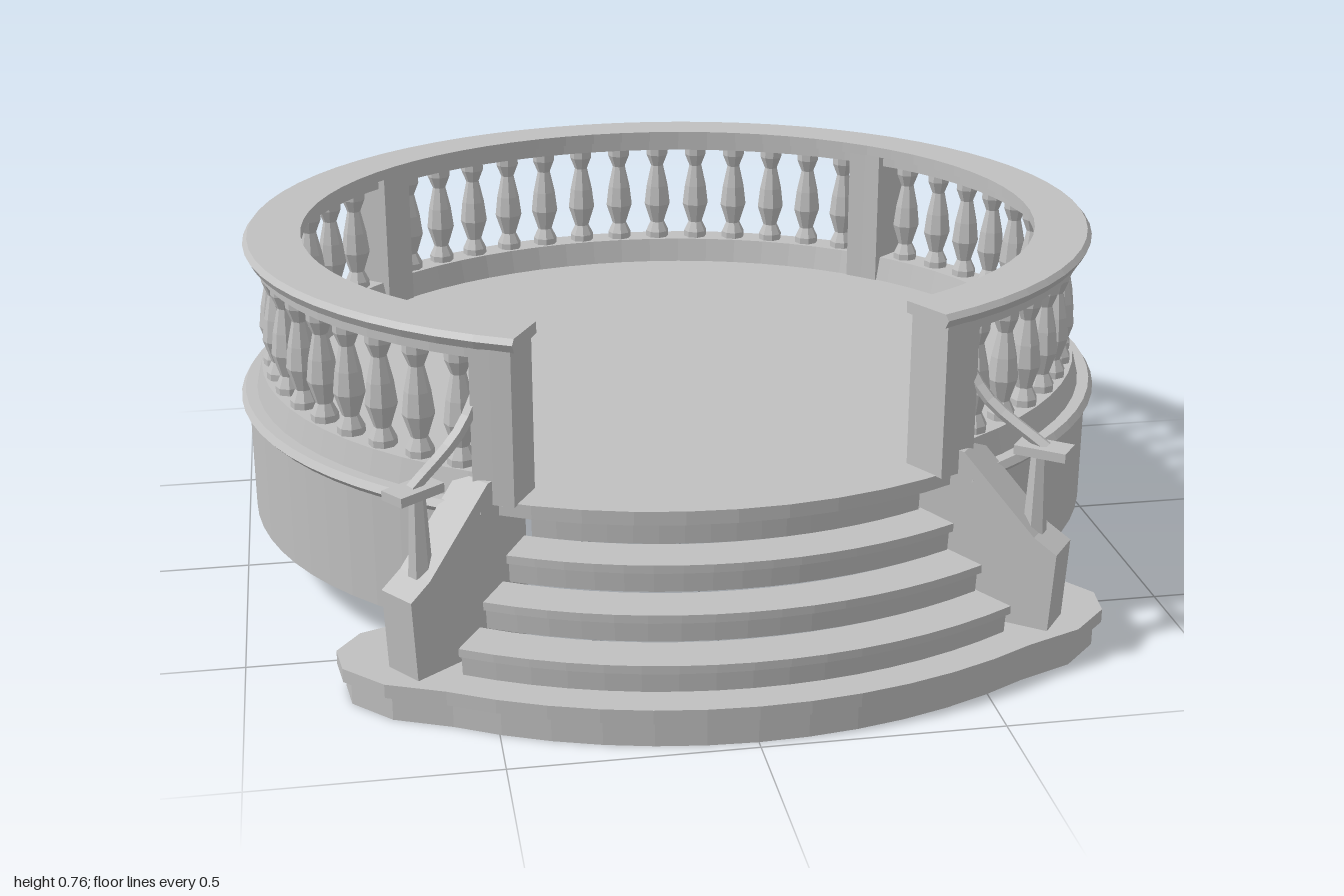
import * as THREE from 'three';

const DEG = Math.PI / 180;
const stone = new THREE.MeshStandardMaterial({ color: 0xc0c0c0, flatShading: true });
stone.name = 'paleStone';

// the terrace plan is a slightly flattened circle; the steps follow their own circle
const TERRACE = { rx: 0.99, rz: 0.9, cz: -0.1 };
const STAIR = { rx: 1, rz: 1, cz: -0.21 };

// point on a plan: scale s, height y, angle t in degrees from the front
function at(plan, s, y, t) {
  return [plan.rx * s * Math.sin(t * DEG), y, plan.cz + plan.rz * s * Math.cos(t * DEG)];
}

// sweep a convex profile of [scale, height] around part of a plan, with end caps
function sweep(plan, profile, t0, t1, segments) {
  const out = [];
  const n = profile.length;
  const ring = (k) => profile.map(([s, y]) => at(plan, s, y, t0 + (t1 - t0) * k / segments));
  for (let k = 0; k < segments; k++) {
    const a = ring(k), b = ring(k + 1);
    for (let i = 0; i < n; i++) {
      const j = (i + 1) % n;
      out.push(...a[i], ...b[i], ...b[j], ...a[i], ...b[j], ...a[j]);
    }
  }
  const first = ring(0), last = ring(segments);
  for (let i = 1; i < n - 1; i++) {
    out.push(...first[0], ...first[i], ...first[i + 1]);
    out.push(...last[0], ...last[i + 1], ...last[i]);
  }
  const g = new THREE.BufferGeometry();
  g.setAttribute('position', new THREE.Float32BufferAttribute(out, 3));
  g.computeVertexNormals();
  return g;
}

const band = (s0, s1, y0, y1) => [[s0, y0], [s1, y0], [s1, y1], [s0, y1]];

function add(parent, name, geometry) {
  const mesh = new THREE.Mesh(geometry, stone);
  mesh.name = name;
  parent.add(mesh);
  return mesh;
}

// cheek wall with newel post and handrail beside the steps
function stairSide(side) {
  const g = new THREE.Group();
  g.name = side > 0 ? 'leftStairSide' : 'rightStairSide';
  const wall = new THREE.Shape([
    [0, 0.08], [0.3, 0.08], [0.31, 0.26], [0.26, 0.29], [0.1, 0.45], [0, 0.47],
  ].map(([u, y]) => new THREE.Vector2(u, y)));
  const cheek = new THREE.ExtrudeGeometry(wall, { depth: 0.09, bevelEnabled: false });
  add(g, 'cheekWall', cheek.translate(0, 0, -0.045));
  add(g, 'newelPost', new THREE.CylinderGeometry(0.016, 0.026, 0.2, 6)).position.set(0.245, 0.37, 0);
  add(g, 'newelCap', new THREE.BoxGeometry(0.11, 0.02, 0.06)).position.set(0.255, 0.47, 0);
  const path = new THREE.CatmullRomCurve3([[-0.02, 0.72], [0.05, 0.67], [0.13, 0.56], [0.26, 0.475]]
    .map(([u, y]) => new THREE.Vector3(u, y, 0)));
  add(g, 'handrail', new THREE.TubeGeometry(path, 10, 0.014, 5));
  g.position.set(side * 0.44, 0, 0.56);
  g.rotation.y = side > 0 ? -0.65 : Math.PI + 0.65;
  return g;
}

export function createModel() {
  const model = new THREE.Group();
  model.name = 'roundTerrace';

  // floor and hollow drum, open behind the steps
  const floor = add(model, 'floor', new THREE.CylinderGeometry(0.95, 0.95, 0.03, 56));
  floor.scale.set(TERRACE.rx, 1, TERRACE.rz);
  floor.position.set(0, 0.387, TERRACE.cz);
  add(model, 'drumWall', sweep(TERRACE, band(0.955, 0.983, 0.12, 0.385), 34, 326, 64));
  add(model, 'drumLedge', sweep(TERRACE, [[0.9, 0.375], [0.985, 0.375], [1, 0.39], [0.99, 0.405], [0.9, 0.405]], 31, 329, 64));

  // balustrade curb and rails
  add(model, 'balustradeCurb', sweep(TERRACE, [[0.86, 0.4], [0.965, 0.4], [0.95, 0.46], [0.875, 0.46]], 29, 331, 60));
  add(model, 'underRail', sweep(TERRACE, band(0.875, 0.95, 0.705, 0.735), 29, 331, 60));
  add(model, 'topRail', sweep(TERRACE, [[0.845, 0.735], [0.965, 0.73], [0.975, 0.748], [0.965, 0.76], [0.845, 0.76]], 27, 333, 60));

  // posts at the opening and at the two back corners
  for (const [from, to] of [[27.5, 33], [327, 332.5], [132, 138], [222, 228]]) {
    add(model, 'post', sweep(TERRACE, band(0.855, 0.965, 0.4, 0.737), from, to, 2));
  }

  // turned balusters between the posts
  const turned = new THREE.LatheGeometry([
    [0.03, 0.45], [0.03, 0.475], [0.018, 0.5], [0.034, 0.55],
    [0.028, 0.6], [0.016, 0.655], [0.028, 0.685], [0.028, 0.715],
  ].map(([r, y]) => new THREE.Vector2(r, y)), 8);
  for (const [from, to, count] of [[33, 132, 15], [138, 222, 13], [228, 327, 15]]) {
    for (let i = 0; i < count; i++) {
      const t = from + (to - from) * (i + 0.5) / count;
      add(model, 'baluster', turned).position.set(...at(TERRACE, 0.915, 0, t));
    }
  }

  // curved steps, narrowing towards the floor
  const steps = [
    [1.14, 0.085, 0.15, 30], [1.08, 0.165, 0.23, 28.5], [1.02, 0.245, 0.31, 27], [0.955, 0.32, 0.402, 25.5],
  ];
  for (const [r, y0, y1, t] of steps) {
    const profile = [[r - 0.1, y0], [r - 0.015, y0], [r - 0.012, y1 - 0.02], [r, y1 - 0.018], [r, y1], [r - 0.1, y1]];
    add(model, 'step', sweep(STAIR, profile, -t, t, 16));
  }

  // bottom step with rounded wings that carry the cheek walls
  const wing = [[0.72, 0.78], [0.8, 0.7], [0.81, 0.62], [0.76, 0.55], [0.68, 0.52], [0.52, 0.62], [0.52, 0.73]];
  const front = [], inner = [];
  for (let t = -30; t <= 30; t += 5) {
    const [x, , z] = at(STAIR, 1.2, 0, t);
    front.push([x, z]);
    const [u, , w] = at(STAIR, 1.06, 0, -t * 0.9);
    inner.push([u, w]);
  }
  const mirrored = wing.map(([x, z]) => [-x, z]).reverse();
  const outline = [...front, ...wing, ...inner, ...mirrored].map(([x, z]) => new THREE.Vector2(x, -z));
  const slab = (y, depth, name) => {
    const g = new THREE.ExtrudeGeometry(new THREE.Shape(outline), { depth, bevelEnabled: false });
    const mesh = add(model, name, g.rotateX(-Math.PI / 2));
    mesh.position.y = y;
    return mesh;
  };
  const plinth = slab(0, 0.055, 'bottomStepPlinth');
  plinth.scale.set(0.98, 1, 0.99);
  slab(0.055, 0.03, 'bottomStepTread');

  model.add(stairSide(1), stairSide(-1));
  return model;
}
